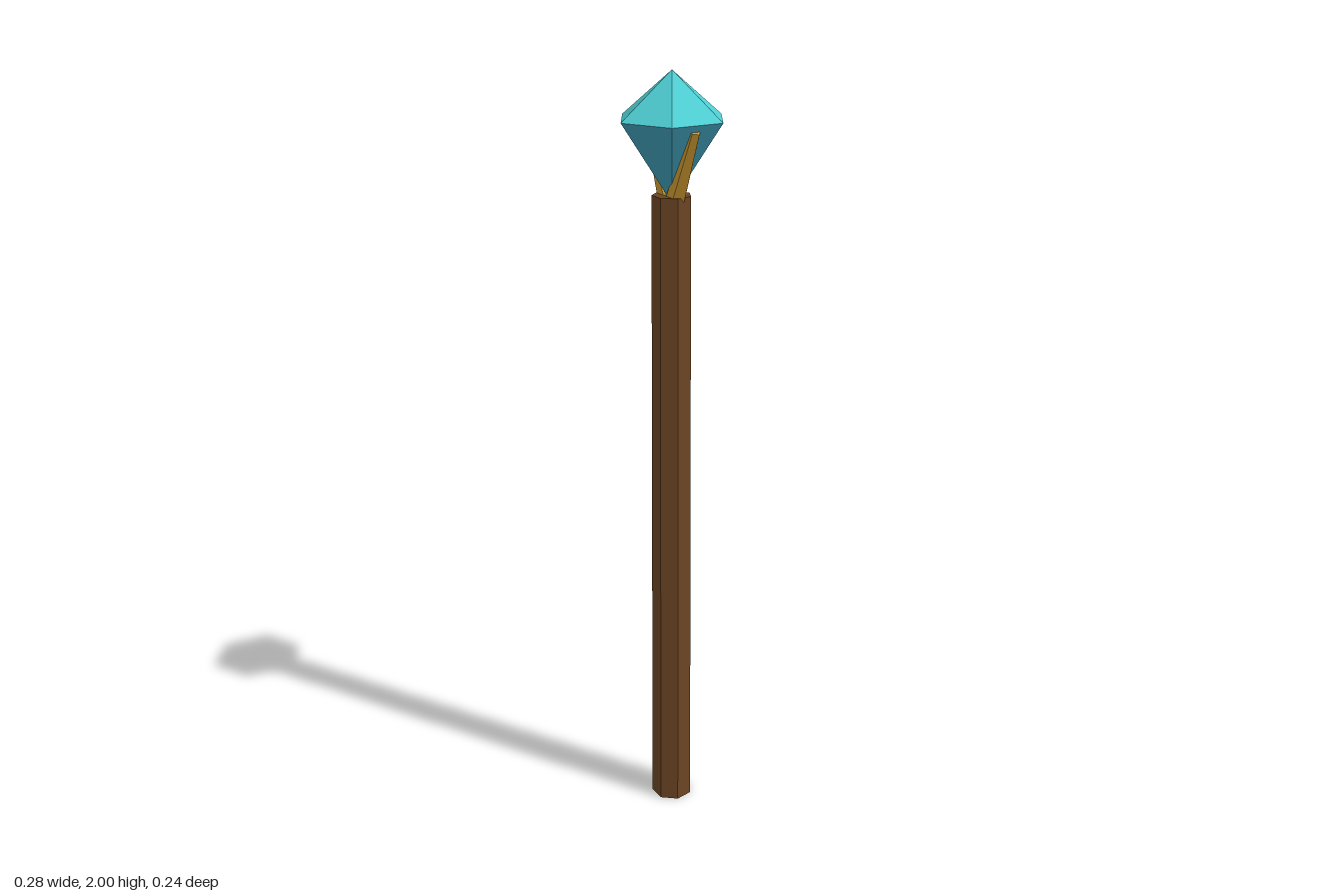
import * as THREE from 'three';

const material = (name, color) => {
  const m = new THREE.MeshStandardMaterial({ color, flatShading: true });
  m.name = name;
  return m;
};

export function createModel() {
  const wood = material('brown wood', 0x6b4423);
  const gold = material('gold', 0xc9962f);
  const crystalLight = material('light turquoise crystal', 0x4ecdd2);
  const crystalDeep = material('deep turquoise crystal', 0x3f9db5);
  const staff = new THREE.Group();
  staff.name = 'staff';

  // Faceted cylinder between two heights, with its first corner on +x
  const tapered = (name, mat, rTop, rBottom, y0, y1, sides, open = false) => {
    const geometry = new THREE.CylinderGeometry(rTop, rBottom, y1 - y0, sides, 1, open);
    geometry.rotateY(Math.PI / 2);
    geometry.translate(0, (y0 + y1) / 2, 0);
    const mesh = new THREE.Mesh(geometry, mat);
    mesh.name = name;
    return mesh;
  };

  // Seven-sided shaft, slightly thicker at the foot
  staff.add(tapered('shaft', wood, 0.05, 0.055, 0, 1.7, 7));

  // Six-sided crystal: shallow crown above a deeper point
  const crystal = new THREE.Group();
  crystal.name = 'crystal';
  crystal.add(
    tapered('crystalCrown', crystalLight, 0, 0.14, 1.885, 2, 6, true),
    tapered('crystalPoint', crystalDeep, 0.14, 0, 1.68, 1.885, 6, true)
  );
  staff.add(crystal);

  // Front and back prongs lean outwards from the shaft to hold the crystal
  for (const side of [1, -1]) {
    const prong = tapered(side > 0 ? 'frontProng' : 'backProng', gold, 0.015, 0.027, 0, 0.225, 5);
    prong.position.set(0, 1.668, side * 0.008);
    prong.rotation.x = side * 0.46;
    staff.add(prong);
  }
  return staff;
}
